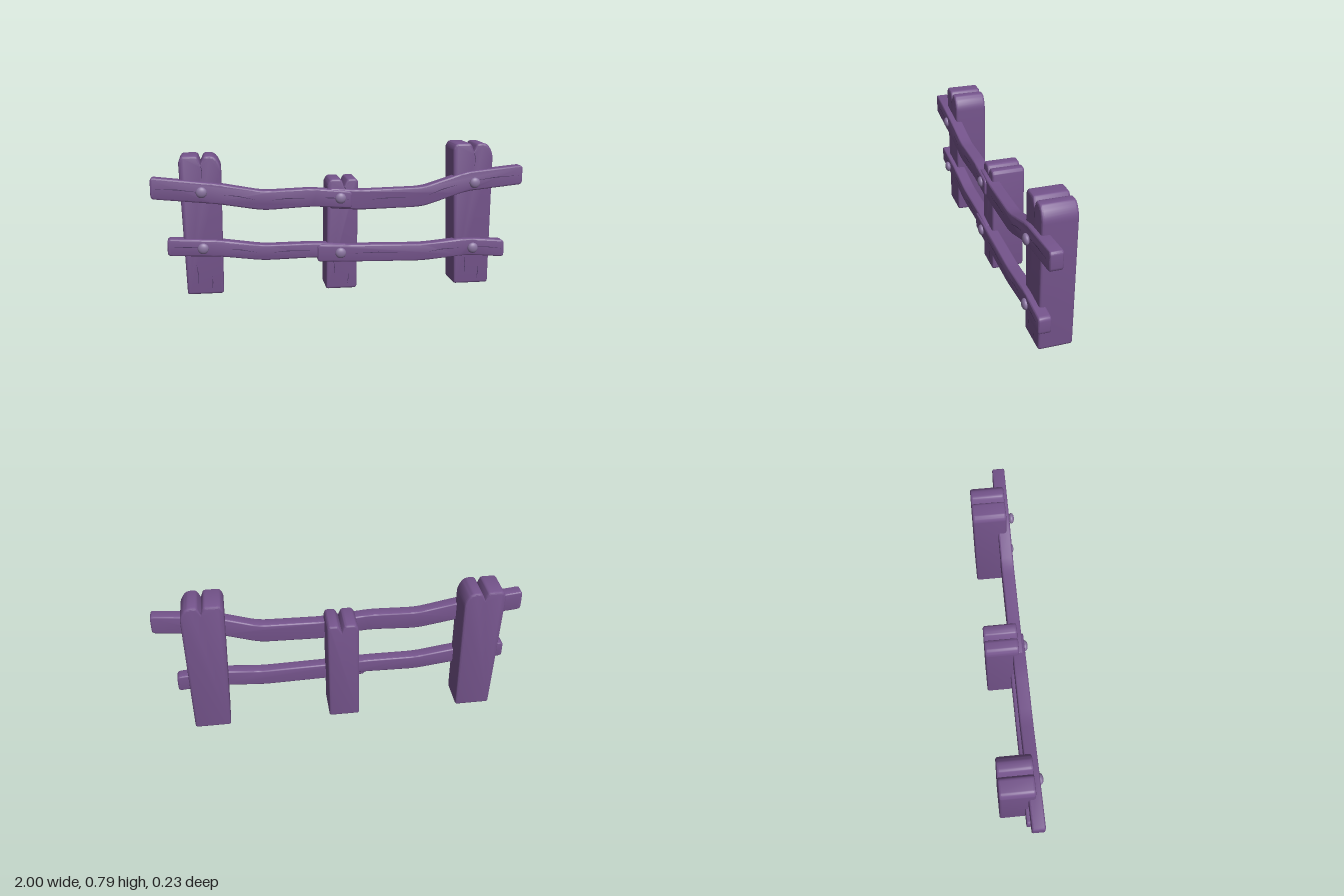
import * as THREE from 'three';
import { toCreasedNormals } from 'three/addons/utils/BufferGeometryUtils.js';

const wood = new THREE.MeshStandardMaterial({ color: 0x75548c });
wood.name = 'purpleWood';
const boltMetal = new THREE.MeshStandardMaterial({ color: 0x8a74a0 });
boltMetal.name = 'paleBolt';
const crackDark = new THREE.MeshStandardMaterial({ color: 0x4a3560 });
crackDark.name = 'darkCrack';

// Closed outline of [x, y, cornerRadius], counter-clockwise, with softened corners
function roundedShape(points) {
  const shape = new THREE.Shape();
  const n = points.length;
  points.forEach(([x, y, r], i) => {
    const towards = (q) => {
      const d = new THREE.Vector2(q[0] - x, q[1] - y);
      return d.setLength(Math.min(r, d.length() * 0.45)).add(new THREE.Vector2(x, y));
    };
    const a = towards(points[(i + n - 1) % n]);
    const b = towards(points[(i + 1) % n]);
    if (i === 0) shape.moveTo(a.x, a.y);
    else shape.lineTo(a.x, a.y);
    if (r > 0) shape.quadraticCurveTo(x, y, b.x, b.y);
  });
  shape.closePath();
  return shape;
}

// Bevelled slab between two depths, keeping the outline as its widest section
function slab(name, points, zBack, zFront, bevel) {
  const geometry = new THREE.ExtrudeGeometry(roundedShape(points), {
    depth: zFront - zBack - 2 * bevel,
    bevelSize: bevel, bevelThickness: bevel, bevelOffset: -bevel,
    bevelSegments: 3, curveSegments: 4,
  });
  geometry.translate(0, 0, zBack + bevel);
  const mesh = new THREE.Mesh(toCreasedNormals(geometry, 0.7), wood);
  mesh.name = name;
  return mesh;
}

// Thin crooked split lying on a front face, tapering to both ends
function crack(x0, y0, x1, y1, z) {
  const along = new THREE.Vector2(x1 - x0, y1 - y0);
  const across = new THREE.Vector2(-along.y, along.x).normalize();
  const at = (t, offset) => new THREE.Vector2(x0, y0).addScaledVector(along, t).addScaledVector(across, offset);
  const mesh = new THREE.Mesh(new THREE.ShapeGeometry(new THREE.Shape([
    at(0, 0), at(0.45, 0.003), at(1, 0), at(0.45, 0.0075),
  ])), crackDark);
  mesh.position.z = z + 0.001;
  mesh.name = 'crack';
  return mesh;
}

// Tapered post whose top is split into two lobes; the outer right corner is worn by `wear`
function post({ name, bottom, top, height, notch, wear }) {
  const group = new THREE.Group();
  group.name = name;
  const [b0, b1] = bottom;
  const [t0, t1] = top;
  const back = -0.115, front = 0.064, bevel = 0.012;
  const notchY = height - 0.04;
  group.add(slab(`${name}Body`, [
    [b0, 0, 0.012], [b1, 0, 0.016],
    [t1, height - wear, wear / 2], [t1 - wear * 0.6, height, wear / 2],
    [notch + 0.018, height, 0.015], [notch, notchY, 0], [notch - 0.014, height, 0.015],
    [t0 + 0.018, height, 0.012], [t0, height - 0.028, 0.015],
  ], back, front, bevel));
  // Split running down from the notch, and two rising from the foot
  const middle = (b0 + b1) / 2;
  group.add(
    crack(notch, notchY, notch + 0.005, notchY - wear * 1.6, front),
    crack(middle - 0.045, 0.17, middle - 0.04, 0.05, front),
    crack(middle + 0.035, 0.1, middle + 0.03, 0.02, front),
  );
  return group;
}

// Bent rail following a centreline, its height running from `start` to `end`
function rail({ name, line, start, end, back, front }) {
  const group = new THREE.Group();
  group.name = name;
  const last = line.length - 1;
  const edge = (side) => line.map(([x, y], i) => {
    const half = THREE.MathUtils.lerp(start, end, i / last) / 2;
    return [x, y + side * half, i === 0 || i === last ? 0.02 : 0.05];
  });
  group.add(slab(`${name}Body`, [...edge(-1), ...edge(1).reverse()], back, front, 0.008));
  // One grain split along each long stretch
  for (let i = 0; i < last; i++) {
    const a = new THREE.Vector2(...line[i]);
    const b = new THREE.Vector2(...line[i + 1]);
    if (a.distanceTo(b) < 0.2) continue;
    const p = a.clone().lerp(b, i === 0 ? 0.02 : 0.12);
    const q = a.clone().lerp(b, i === last - 1 ? 0.95 : 0.85);
    group.add(crack(p.x, p.y, q.x, q.y, front));
  }
  return group;
}

const POSTS = [
  { name: 'leftPost', bottom: [-0.83, -0.638], top: [-0.855, -0.634], height: 0.745, notch: -0.742, wear: 0.055 },
  { name: 'middlePost', bottom: [-0.085, 0.084], top: [-0.077, 0.092], height: 0.607, notch: 0.014, wear: 0.018 },
  { name: 'rightPost', bottom: [0.635, 0.83], top: [0.612, 0.836], height: 0.785, notch: 0.728, wear: 0.055 },
];

const RAILS = [
  { name: 'upperLeftRail', start: 0.112, end: 0.092, back: 0.03, front: 0.097,
    line: [[-1, 0.586], [-0.66, 0.549], [-0.42, 0.506], [-0.16, 0.517], [0.053, 0.498]] },
  { name: 'upperRightRail', start: 0.108, end: 0.105, back: 0.02, front: 0.087,
    line: [[-0.07, 0.507], [0.1, 0.495], [0.44, 0.502], [0.685, 0.58], [1, 0.611]] },
  { name: 'lowerLeftRail', start: 0.092, end: 0.075, back: 0.02, front: 0.087,
    line: [[-0.925, 0.268], [-0.655, 0.254], [-0.42, 0.222], [-0.13, 0.226], [0.04, 0.215]] },
  { name: 'lowerRightRail', start: 0.094, end: 0.094, back: 0.03, front: 0.095,
    line: [[-0.135, 0.21], [0, 0.205], [0.44, 0.195], [0.7, 0.218], [0.908, 0.2]] },
];

const BOLTS = [[-0.74, 0.56], [-0.01, 0.51], [0.726, 0.575], [-0.74, 0.26], [-0.01, 0.21], [0.726, 0.212]];

export function createModel() {
  const fence = new THREE.Group();
  fence.name = 'fence';
  POSTS.forEach((spec) => fence.add(post(spec)));
  RAILS.forEach((spec) => fence.add(rail(spec)));

  // Domed bolt heads
  const dome = new THREE.SphereGeometry(0.029, 24, 16);
  dome.scale(1, 1, 0.55);
  for (const [x, y] of BOLTS) {
    const bolt = new THREE.Mesh(dome, boltMetal);
    bolt.name = 'bolt';
    bolt.position.set(x, y, 0.1);
    fence.add(bolt);
  }
  return fence;
}
